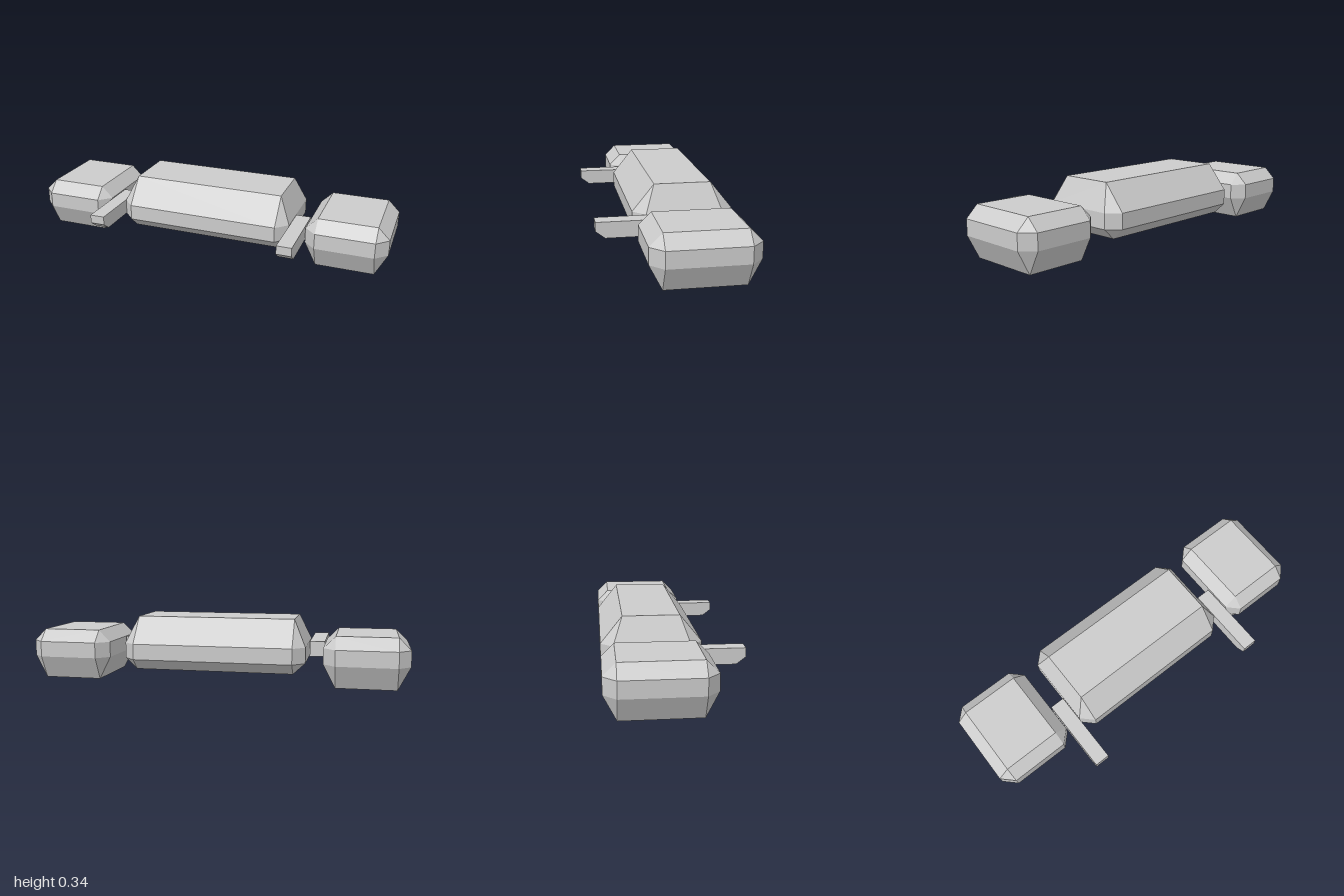
import * as THREE from 'three';
import { ConvexGeometry } from 'three/addons/geometries/ConvexGeometry.js';

const material = new THREE.MeshStandardMaterial({ color: 0xcccccc, flatShading: true });

// Corners of a rectangle at height y
const rect = ([x0, x1, z0, z1], y) =>
  [[x0, z0], [x1, z0], [x1, z1], [x0, z1]].map(([x, z]) => new THREE.Vector3(x, y, z));

// Faceted block: a chamfered vertical band tapering to a flat top and a flat bottom
function facetedBlock(name, { band, bandY, chamfer, top, topY, bottom, bottomY }) {
  const [x0, x1, z0, z1] = band;
  const points = [...rect(top, topY), ...rect(bottom, bottomY)];
  for (const y of bandY) {
    points.push(...rect([x0 + chamfer, x1 - chamfer, z0, z1], y));
    points.push(...rect([x0, x1, z0 + chamfer, z1 - chamfer], y));
  }
  const mesh = new THREE.Mesh(new ConvexGeometry(points), material);
  mesh.name = name;
  return mesh;
}

// Slim bar pointing forward, with its lower front edge cut away
function forwardArm(name, x) {
  const width = 0.08;
  const profile = new THREE.Shape([
    [0.05, 0.121], [0.05, 0.203], [-0.353, 0.203], [-0.353, 0.157], [-0.306, 0.121],
  ].map(([u, y]) => new THREE.Vector2(u, y)));
  const geometry = new THREE.ExtrudeGeometry(profile, { depth: width, bevelEnabled: false });
  geometry.translate(0, 0, -width / 2);
  geometry.rotateY(Math.PI / 2); // profile u becomes -z
  const mesh = new THREE.Mesh(geometry, material);
  mesh.position.x = x;
  mesh.name = name;
  return mesh;
}

export function createModel() {
  const model = new THREE.Group();
  model.name = 'model';
  const bandY = [0.121, 0.203];
  const chamfer = 0.062;

  // Long central body
  model.add(facetedBlock('centralBody', {
    band: [-0.479, 0.479, -0.353, 0.157], bandY, chamfer,
    top: [-0.417, 0.417, -0.242, 0.046], topY: 0.341,
    bottom: [-0.417, 0.417, -0.291, 0.095], bottomY: 0.063,
  }));

  // Mirrored side pods and arms
  for (const [side, s] of [['left', 1], ['right', -1]]) {
    const span = (a, b) => (s > 0 ? [a, b] : [-b, -a]);
    const cap = [...span(0.63, 0.938), -0.291, 0.095];
    model.add(facetedBlock(side + 'Pod', {
      band: [...span(0.568, 1), -0.353, 0.157], bandY, chamfer,
      top: cap, topY: 0.265, bottom: cap, bottomY: 0,
    }));
    model.add(forwardArm(side + 'Arm', s * 0.522));
  }
  return model;
}
